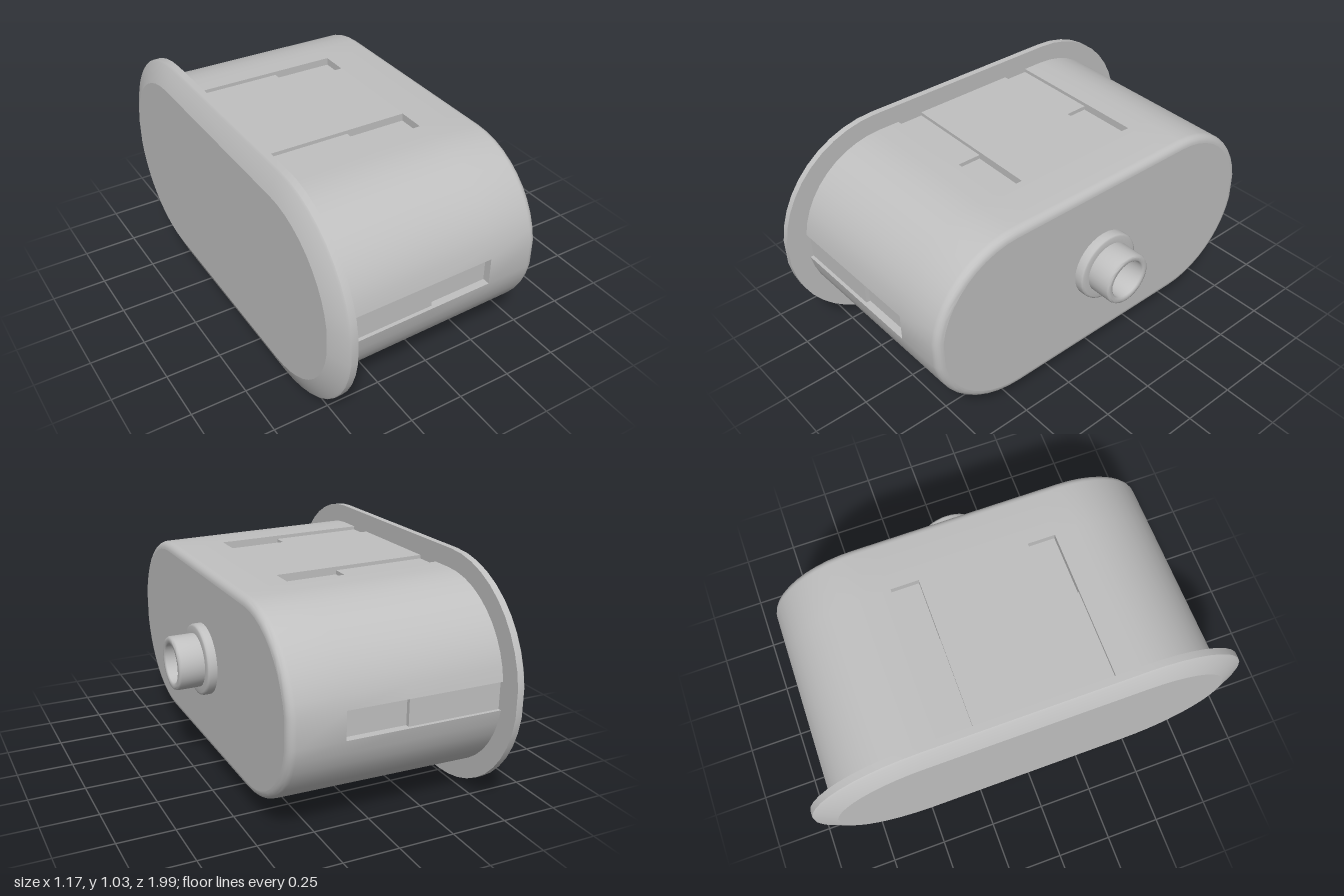
import * as THREE from 'three';
import { mergeGeometries, toCreasedNormals } from 'three/addons/utils/BufferGeometryUtils.js';

const CY = 0.516;           // height of the long axis
const SLOT = 0.0625;        // half width of a slot
const SLOT_Z = 0.31;        // offset of the slots on the flat sides

// Half of a rounded-oblong outline as [y, z]; slots are sunk by depth d
function halfOutline(a, r, d) {
  const pts = [], n = 10, gap = Math.asin(SLOT / r);
  const arc = (from, to) => {
    for (let i = 0; i <= n; i++) {
      const t = from + (to - from) * i / n;
      pts.push([r * Math.cos(t), a + r * Math.sin(t)]);
    }
  };
  arc(0, Math.PI / 2 - gap);
  const zEnd = a + r * Math.cos(gap);
  pts.push([SLOT, zEnd - d], [-SLOT, zEnd - d]);
  arc(Math.PI / 2 + gap, Math.PI);
  for (const z of [SLOT_Z, -SLOT_Z]) {
    pts.push([-r, z + SLOT], [-r + d, z + SLOT], [-r + d, z - SLOT], [-r, z - SLOT]);
  }
  return pts;
}

// Skin a row of sections [x, halfLength, radius, slotDepth] along x, with flat end caps
function loft(sections) {
  const rings = sections.map(([x, a, r, d = 0]) => {
    const half = halfOutline(a, r, d);
    return [...half, ...half.map(([y, z]) => [-y, -z])].map(([y, z]) => [x, y + CY, z]);
  });
  const n = rings[0].length, wall = [], caps = [];
  for (let i = 0; i < rings.length - 1; i++) {
    for (let j = 0; j < n; j++) {
      const k = (j + 1) % n, A = rings[i], B = rings[i + 1];
      wall.push(...A[j], ...A[k], ...B[j], ...B[j], ...A[k], ...B[k]);
    }
  }
  const first = rings[0], last = rings[rings.length - 1];
  for (let j = 0; j < n; j++) {
    const k = (j + 1) % n;
    caps.push(first[0][0], CY, 0, ...first[k], ...first[j]);
    caps.push(last[0][0], CY, 0, ...last[j], ...last[k]);
  }
  const make = (p) => {
    const g = new THREE.BufferGeometry();
    g.setAttribute('position', new THREE.Float32BufferAttribute(p, 3));
    g.computeVertexNormals();
    return g;
  };
  return mergeGeometries([toCreasedNormals(make(wall), 0.5), make(caps)]);
}

export function createModel() {
  const model = new THREE.Group();
  model.name = 'oblongPlug';
  const grey = new THREE.MeshStandardMaterial({ color: 0xc0c0c0 });
  grey.name = 'light grey';
  const add = (name, geometry) => {
    const mesh = new THREE.Mesh(geometry, grey);
    mesh.name = name;
    model.add(mesh);
    return mesh;
  };

  // Tapered body with two-level slots and a rounded front edge
  const a = 0.474, shallow = 0.016, deep = 0.034, fillet = 0.035;
  const radius = (x) => 0.431 - 0.012 * (x + 0.52) / 0.91;
  const sections = [
    [-0.53, a, radius(-0.53), shallow],
    [-0.093, a, radius(-0.093), shallow],
    [-0.093, a, radius(-0.093), deep],
    [0.187, a, radius(0.187), deep],
    [0.187, a, radius(0.187), 0],
  ];
  for (let i = 0; i <= 6; i++) {
    const t = i / 6 * Math.PI / 2;
    sections.push([0.393 + fillet * Math.sin(t), a, radius(0.393) - fillet * (1 - Math.cos(t))]);
  }
  add('body', loft(sections));

  // Flange with a chamfered outer face
  add('flange', loft([
    [-0.59, 0.485, 0.415],
    [-0.552, 0.485, 0.507],
    [-0.545, 0.485, 0.515],
    [-0.515, 0.485, 0.515],
  ]));

  // Hollow spout with a collar
  const profile = [
    [0.16, 0.42], [0.16, 0.459], [0.157, 0.467], [0.149, 0.47], [0.12, 0.47],
    [0.12, 0.574], [0.117, 0.582], [0.109, 0.585], [0.094, 0.585], [0.088, 0.58],
    [0.088, 0.44], [0, 0.44],
  ].map(([r, h]) => new THREE.Vector2(r, h));
  const spout = toCreasedNormals(new THREE.LatheGeometry(profile, 32), 0.9);
  spout.rotateZ(-Math.PI / 2);
  add('spout', spout).position.y = CY + 0.004;

  // Bar across the bottom of the bore
  add('boreBar', new THREE.BoxGeometry(0.03, 0.155, 0.084)).position.set(0.445, CY + 0.004, 0);

  return model;
}
